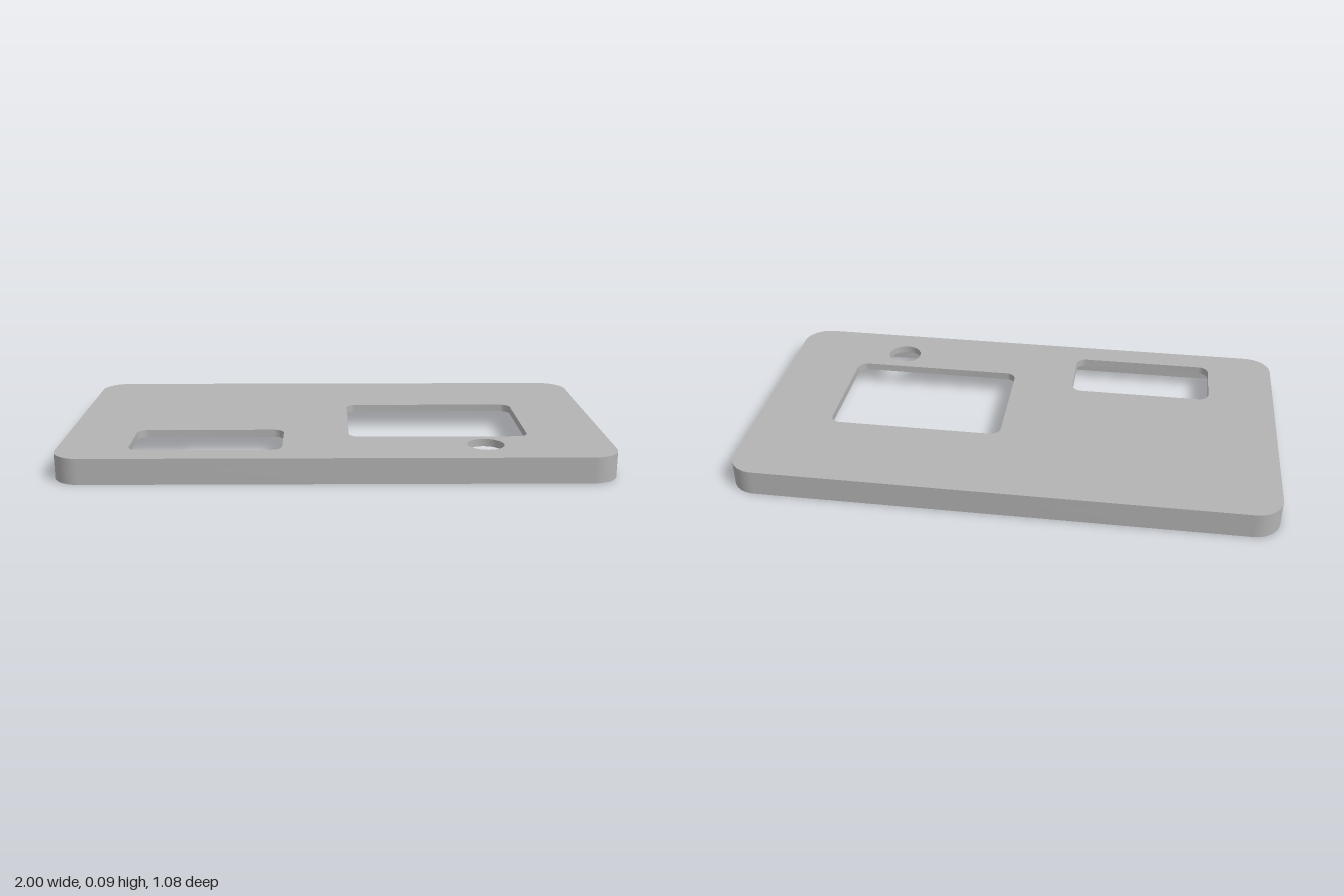
import * as THREE from 'three';
import { toCreasedNormals } from 'three/addons/utils/BufferGeometryUtils.js';

const HALF_X = 1, HALF_Z = 0.542, HEIGHT = 0.095, NOTCH_TOP = 0.067;
const WALL = 0.028, CORNER = 0.1;
const NOTCH_BACK = -0.378, NOTCH_FRONT = 0.292;

// Rounded rectangle drawn in the plan, with z given as in the model (shape y = -z).
function roundedRect(path, x0, x1, z0, z1, r) {
  const b = -z1, t = -z0;
  path.moveTo(x0 + r, b);
  path.lineTo(x1 - r, b);
  path.absarc(x1 - r, b + r, r, -Math.PI / 2, 0, false);
  path.lineTo(x1, t - r);
  path.absarc(x1 - r, t - r, r, 0, Math.PI / 2, false);
  path.lineTo(x0 + r, t);
  path.absarc(x0 + r, t - r, r, Math.PI / 2, Math.PI, false);
  path.lineTo(x0, b + r);
  path.absarc(x0 + r, b + r, r, Math.PI, Math.PI * 1.5, false);
  return path;
}

// Extrudes a plan shape upward between two heights, smoothing only the rounded corners.
function slab(name, shape, y0, y1, material) {
  const geo = new THREE.ExtrudeGeometry(shape, { depth: y1 - y0, bevelEnabled: false, curveSegments: 16 });
  geo.rotateX(-Math.PI / 2).translate(0, y0, 0);
  const mesh = new THREE.Mesh(toCreasedNormals(geo, 0.5), material);
  mesh.name = name;
  return mesh;
}

export function createModel() {
  const group = new THREE.Group();
  group.name = 'enclosureLid';
  const grey = new THREE.MeshStandardMaterial({ color: 0xb3b3b3 });
  grey.name = 'grey plastic';

  // Top plate with two rounded windows and a round button hole
  const plate = roundedRect(new THREE.Shape(), -HALF_X, HALF_X, -HALF_Z, HALF_Z, CORNER);
  plate.holes.push(
    roundedRect(new THREE.Path(), -0.745, -0.195, 0.187, 0.442, 0.04),
    roundedRect(new THREE.Path(), 0.047, 0.712, -0.173, 0.282, 0.04),
    new THREE.Path().absarc(0.54, -0.382, 0.067, 0, Math.PI * 2, true)
  );
  group.add(slab('topPlate', plate, NOTCH_TOP, HEIGHT, grey));

  // Rim wall: runs round the edge, left open at the notch on the +x side
  const rim = new THREE.Shape();
  const cx = HALF_X - CORNER, cy = HALF_Z - CORNER, ri = CORNER - WALL;
  const corners = [[cx, cy, 0], [-cx, cy, 1], [-cx, -cy, 2], [cx, -cy, 3]];
  rim.moveTo(HALF_X, -NOTCH_BACK);
  for (const [x, y, q] of corners)
    rim.absarc(x, y, CORNER, q * Math.PI / 2, (q + 1) * Math.PI / 2, false);
  rim.lineTo(HALF_X, -NOTCH_FRONT);
  rim.lineTo(HALF_X - WALL, -NOTCH_FRONT);
  for (const [x, y, q] of corners.slice().reverse())
    rim.absarc(x, y, ri, (q + 1) * Math.PI / 2, q * Math.PI / 2, true);
  rim.lineTo(HALF_X - WALL, -NOTCH_BACK);
  rim.closePath();
  group.add(slab('rimWall', rim, 0, NOTCH_TOP, grey));

  return group;
}
